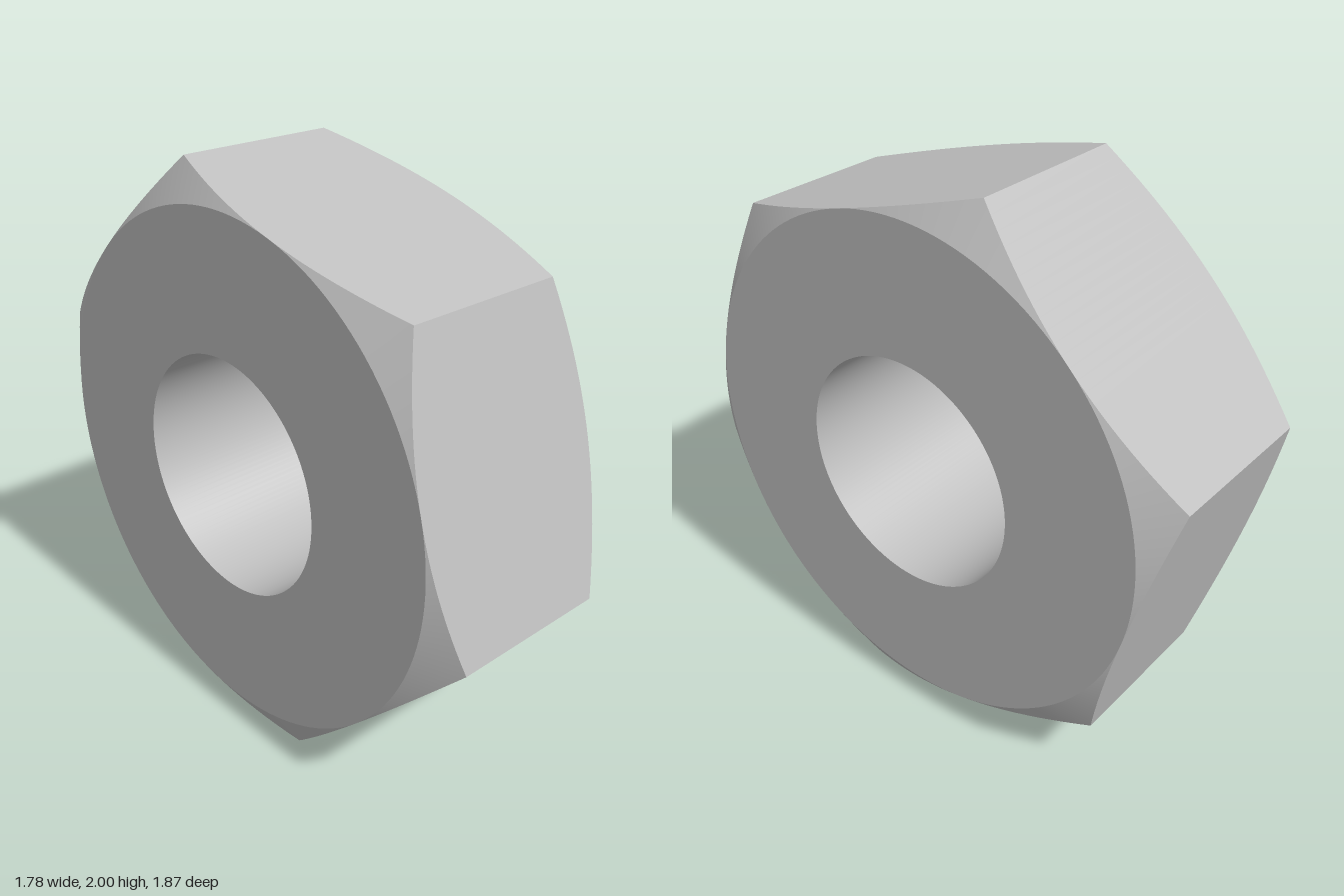
import * as THREE from 'three';
import { toCreasedNormals } from 'three/addons/utils/BufferGeometryUtils.js';

const CORNER_RADIUS = 1.0345;
const APOTHEM = CORNER_RADIUS * Math.cos(Math.PI / 6);
const BORE_RADIUS = 0.42;
const HALF_THICKNESS = 0.372;
const CHAMFER_SLOPE = Math.tan(Math.PI / 6);
const SEGMENTS = 144; // multiple of 12, so corners and side centres get vertices

function hexNutGeometry() {
  // Closed profile: back face, back chamfer, side, front chamfer, front face, bore
  const h = HALF_THICKNESS;
  const rimY = h - 0.08;
  const profile = [
    [BORE_RADIUS, -h], [APOTHEM, -h], [CORNER_RADIUS, -rimY],
    [CORNER_RADIUS, rimY], [APOTHEM, h], [BORE_RADIUS, h], [BORE_RADIUS, -h],
  ].map(([x, y]) => new THREE.Vector2(x, y));
  const geometry = new THREE.LatheGeometry(profile, SEGMENTS);

  // Pull the round rim onto a hexagon, keeping it on the conical chamfers
  const pos = geometry.attributes.position;
  const side = Math.PI / 3;
  for (let i = 0; i < pos.count; i++) {
    const ring = i % profile.length;
    if (ring !== 2 && ring !== 3) continue;
    const phi = Math.floor(i / profile.length) * Math.PI * 2 / SEGMENTS;
    const r = APOTHEM / Math.cos((phi % side) - side / 2);
    const y = h - (r - APOTHEM) * CHAMFER_SLOPE;
    pos.setXYZ(i, r * Math.sin(phi), ring === 2 ? -y : y, r * Math.cos(phi));
  }
  return toCreasedNormals(geometry, 0.3);
}

export function createModel() {
  const steel = new THREE.MeshStandardMaterial({ color: 0xc0c0c0 });
  steel.name = 'steel grey';

  // Stand the nut on a corner, with its bore along z
  const geometry = hexNutGeometry();
  geometry.rotateX(Math.PI / 2);
  geometry.rotateZ(THREE.MathUtils.degToRad(14.85));

  const nut = new THREE.Mesh(geometry, steel);
  nut.name = 'hexNut';
  nut.position.y = 1;
  nut.rotation.y = THREE.MathUtils.degToRad(-47.8);

  const model = new THREE.Group();
  model.name = 'chamferedHexNut';
  model.add(nut);
  return model;
}
